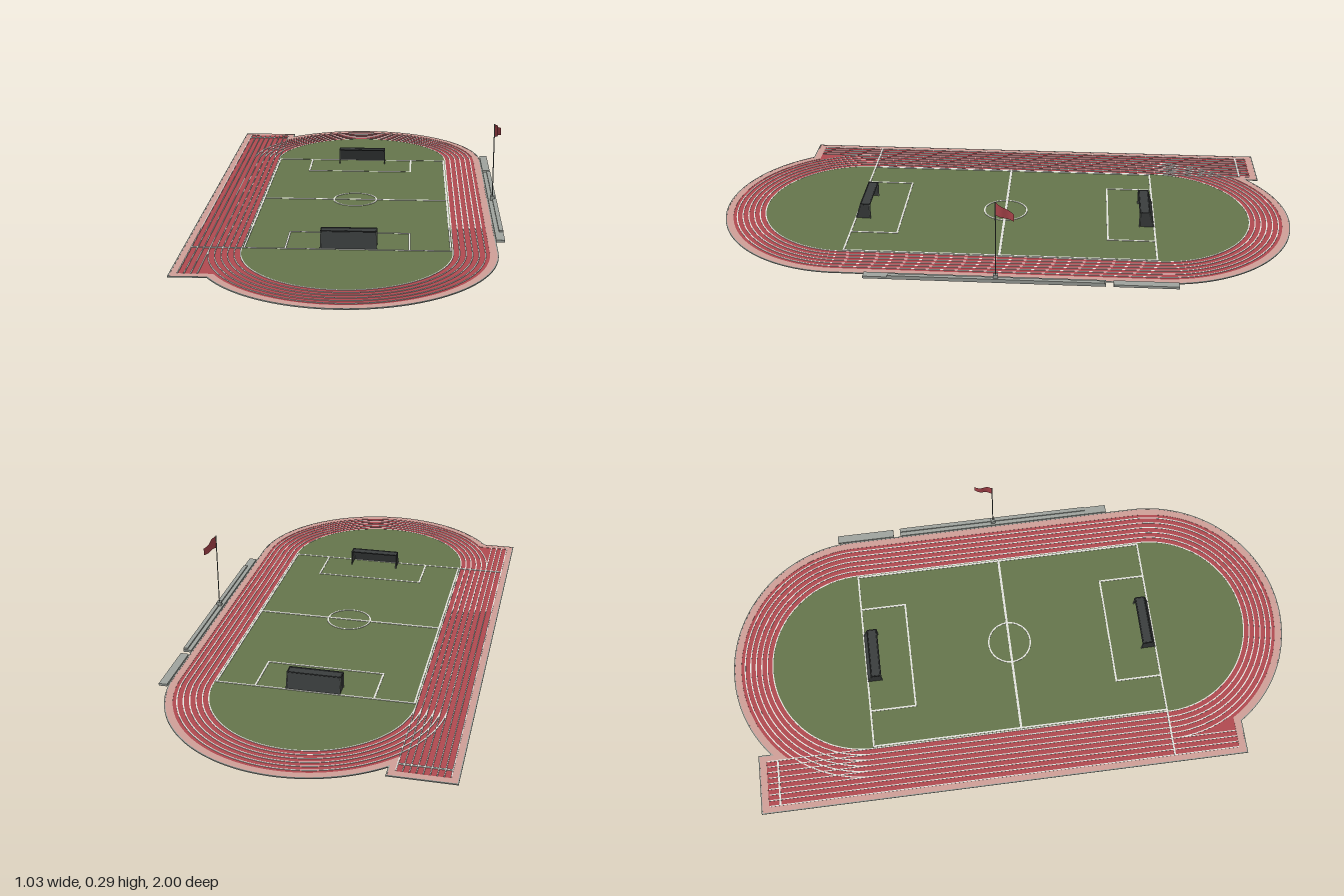
import * as THREE from 'three';

const mat = (name, color, double = false) => {
  const m = new THREE.MeshStandardMaterial({ color });
  m.name = name;
  if (double) m.side = THREE.DoubleSide;
  return m;
};

export function createModel() {
  const red = mat('track red', 0xb04a50);
  const flagRed = mat('flag red', 0xa8434a, true);
  const green = mat('grass green', 0x65764c);
  const white = mat('line white', 0xe4e4de);
  const pink = mat('kerb pink', 0xcf9f98);
  const grey = mat('concrete grey', 0x9fa49e);
  const dark = mat('net charcoal', 0x3b3e3e, true);
  const steel = mat('pole grey', 0x70766f);

  const root = new THREE.Group();
  root.name = 'stadium';
  const CZ = 0.53; // centre of each end curve

  const add = (parent, name, geo, material, x = 0, y = 0, z = 0) => {
    const m = new THREE.Mesh(geo, material);
    m.name = name;
    m.position.set(x, y, z);
    parent.add(m);
    return m;
  };
  // flat slab from a plan shape (shape y = -z)
  const slab = (name, shape, y0, y1, material) => add(root, name,
    new THREE.ExtrudeGeometry(shape, { depth: y1 - y0, bevelEnabled: false, curveSegments: 48 })
      .rotateX(-Math.PI / 2), material, 0, y0, 0);
  const ring = (outer, inner) => {
    outer.holes.push(inner);
    return outer;
  };

  // oval plan of two half circles and straights
  const oval = (r) => {
    const s = new THREE.Shape();
    s.moveTo(r, -CZ);
    s.lineTo(r, CZ);
    s.absarc(0, CZ, r, 0, Math.PI, false);
    s.lineTo(-r, -CZ);
    s.absarc(0, -CZ, r, Math.PI, Math.PI * 2, false);
    return s;
  };
  // oval joined with the sprint straight on the right-hand side
  const trackPlan = (d) => {
    const r = 0.47 - d, left = -0.515 + d, back = 0.93 - d, front = -0.78 + d, edge = -0.31 - d;
    const aBack = Math.acos(edge / r);
    const aFront = Math.PI * 2 - (Math.PI + Math.asin((CZ + front) / r));
    const s = new THREE.Shape();
    s.moveTo(r, -CZ);
    s.lineTo(r, CZ);
    s.absarc(0, CZ, r, 0, aBack, false);
    s.lineTo(edge, back);
    s.lineTo(left, back);
    s.lineTo(left, front);
    s.absarc(0, -CZ, r, aFront, Math.PI * 2, false);
    return s;
  };

  // ground layers
  slab('trackBase', trackPlan(0), 0.001, 0.002, red);
  slab('trackSurface', trackPlan(0.025), 0.002, 0.003, red);
  slab('trackKerb', ring(trackPlan(0), trackPlan(0.025)), 0.002, 0.004, pink);
  slab('kerbEdge', ring(trackPlan(-0.002), trackPlan(0.002)), 0.001, 0.0045, grey);
  slab('grassField', oval(0.33), 0.003, 0.004, green);

  // lane lines around the oval
  const W = 0.004;
  for (let i = 0; i < 6; i++) {
    const r = 0.332 + 0.02 * i;
    slab('laneLine', ring(oval(r + W / 2), oval(r - W / 2)), 0, 0.0045, white);
  }
  // straight painted line between two plan points
  const line = (name, x0, z0, x1, z1, w = 0.006) => add(root, name,
    new THREE.BoxGeometry(Math.abs(x1 - x0) + w, 0.0055, Math.abs(z1 - z0) + w), white,
    (x0 + x1) / 2, 0.00275, (z0 + z1) / 2);

  // sprint straight lines
  for (let i = 0; i < 9; i++) {
    const x = -0.332 - 0.02 * i;
    line('sprintLine', x, -0.9, x, i >= 5 ? 0.752 : 0.525, 0.0035);
  }
  line('sprintStart', -0.49, -0.865, -0.335, -0.865);
  line('sprintFinish', -0.49, 0.525, -0.33, 0.525);

  // pitch markings
  line('halfwayLine', -0.325, 0, 0.325, 0, 0.008);
  for (const s of [-1, 1]) {
    line('goalLine', -0.325, s * 0.525, 0.325, s * 0.525);
    line('touchLine', s * 0.325, -0.525, s * 0.325, 0.525);
    line('boxFrontLine', -0.195, s * 0.363, 0.195, s * 0.363);
    for (const x of [-0.195, 0.195]) line('boxSideLine', x, s * 0.363, x, s * 0.525);
  }
  const circle = new THREE.Shape().absarc(0, 0, 0.078, 0, Math.PI * 2, false);
  slab('centreCircle', ring(circle, new THREE.Path().absarc(0, 0, 0.073, 0, Math.PI * 2, true)),
    0, 0.0055, white);

  // goals: open towards the pitch, sloped back net
  const quad = (a, b, c, d) => {
    const g = new THREE.BufferGeometry();
    g.setAttribute('position', new THREE.Float32BufferAttribute([a, b, c, a, c, d].flat(), 3));
    g.computeVertexNormals();
    return g;
  };
  const bar = (parent, name, a, b, r, material) => add(parent, name,
    new THREE.TubeGeometry(new THREE.LineCurve3(new THREE.Vector3(...a), new THREE.Vector3(...b)),
      1, r, 6), material);
  for (const s of [-1, 1]) {
    const goal = new THREE.Group();
    goal.name = s > 0 ? 'frontGoal' : 'backGoal';
    const X = 0.088, H = 0.058, zF = 0, zT = 0.033, zB = 0.05, y0 = 0.004;
    add(goal, 'backNet', quad([-X, y0, zB], [X, y0, zB], [X, H, zT], [-X, H, zT]), dark);
    add(goal, 'topNet', quad([-X, H, zT], [X, H, zT], [X, H, zF], [-X, H, zF]), dark);
    for (const x of [-X, X]) {
      add(goal, 'sideNet', quad([x, y0, zF], [x, y0, zB], [x, H, zT], [x, H, zF]), dark);
      bar(goal, 'post', [x, y0, zF], [x, H, zF], 0.0025, steel);
      bar(goal, 'rearStay', [x, y0, zB], [x, H, zT], 0.002, steel);
      bar(goal, 'topStay', [x, H, zF], [x, H, zT], 0.002, dark);
    }
    bar(goal, 'crossbar', [-X, H, zF], [X, H, zF], 0.0025, dark);
    bar(goal, 'rearBar', [-X, H, zT], [X, H, zT], 0.002, dark);
    goal.position.set(0.004, 0, s * 0.474);
    goal.rotation.y = s > 0 ? 0 : Math.PI;
    root.add(goal);
  }

  // low stands along the left side
  for (const [z0, z1] of [[-0.587, -0.378], [-0.353, 0.43]]) {
    add(root, 'standBase', new THREE.BoxGeometry(0.028, 0.008, z1 - z0), grey,
      0.486, 0.006, (z0 + z1) / 2);
  }
  add(root, 'standStep', new THREE.BoxGeometry(0.014, 0.005, 0.7), grey, 0.493, 0.0125, 0);

  // flag pole with plinth
  add(root, 'flagPlinth', new THREE.BoxGeometry(0.016, 0.015, 0.016), grey, 0.486, 0.018, 0);
  add(root, 'flagPole', new THREE.CylinderGeometry(0.0018, 0.0018, 0.268, 8), steel, 0.486, 0.152, 0);

  // waving flag, drooping towards its tip
  const flag = new THREE.PlaneGeometry(1, 1, 10, 2);
  const p = flag.attributes.position;
  for (let i = 0; i < p.count; i++) {
    const u = p.getX(i) + 0.5, v = p.getY(i) + 0.5;
    const wave = 0.004 * Math.sin(u * Math.PI * 2);
    p.setXYZ(i, 0.486 + 0.027 * u + wave, 0.24 + 0.045 * v - u * (0.007 + 0.02 * v), -0.06 * u);
  }
  flag.computeVertexNormals();
  add(root, 'flag', flag, flagRed);

  return root;
}
